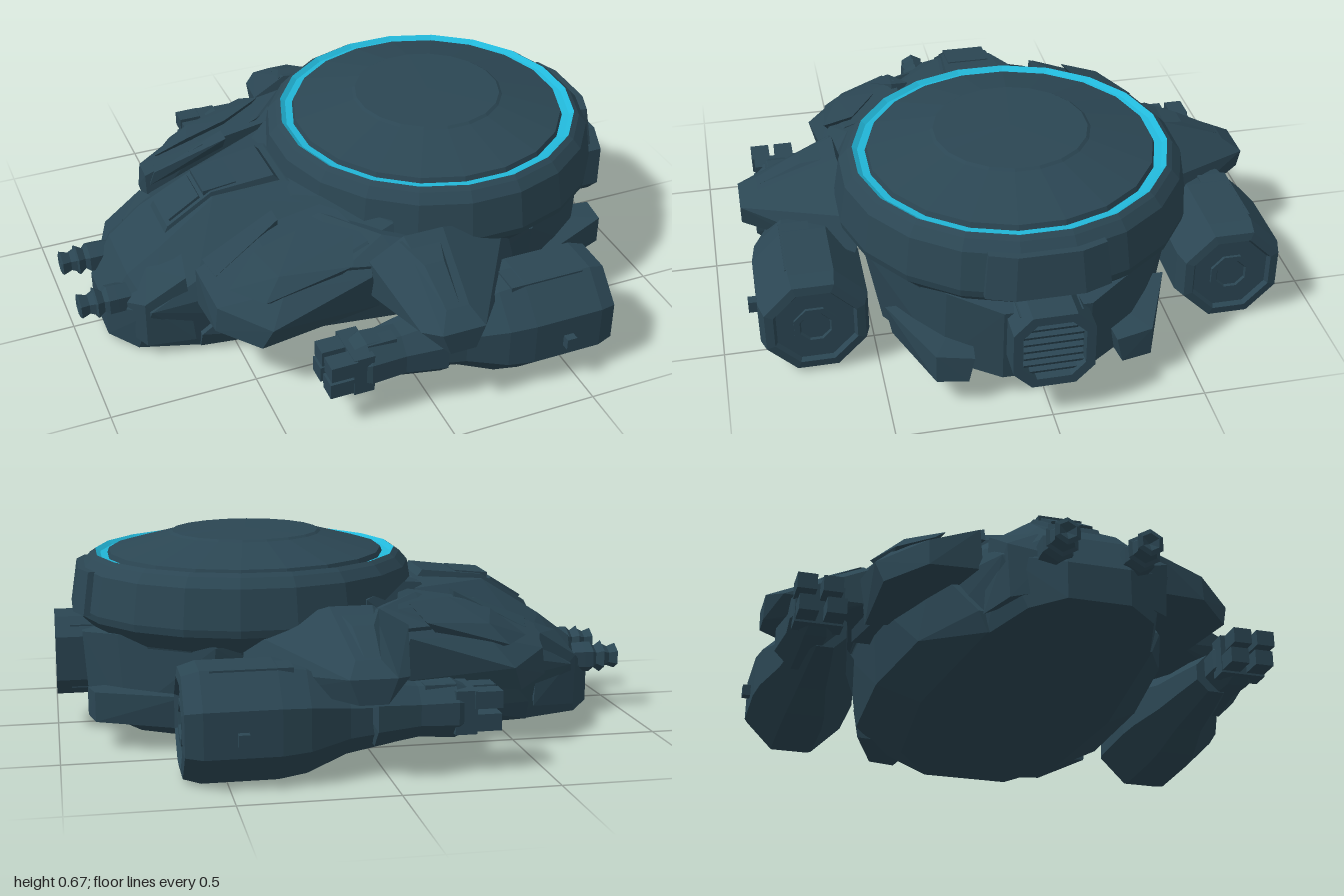
import * as THREE from 'three';
import { ConvexGeometry } from 'three/addons/geometries/ConvexGeometry.js';

export function createModel() {
  const model = new THREE.Group();
  const hullPaint = new THREE.MeshStandardMaterial({ color: 0x2b4653 });
  hullPaint.name = 'slateHull';
  const glow = new THREE.MeshStandardMaterial({ color: 0x22b8da });
  glow.name = 'cyanRing';

  // Faceted mesh: every triangle gets its own normal
  function add(name, geometry, material = hullPaint) {
    const g = geometry.index ? geometry.toNonIndexed() : geometry;
    g.computeVertexNormals();
    const mesh = new THREE.Mesh(g, material);
    mesh.name = name;
    model.add(mesh);
    return mesh;
  }
  const vec = (pts, s) => pts.map(([x, y, z]) => new THREE.Vector3(x, y, z * s));
  // One block mirrored across the centre line
  const block = (name, pts) => add(name, new ConvexGeometry([...vec(pts, 1), ...vec(pts, -1)]));
  // Two separate blocks, one on each side
  const pair = (name, pts) => {
    add(name + 'Front', new ConvexGeometry(vec(pts, 1)));
    add(name + 'Back', new ConvexGeometry(vec(pts, -1)));
  };
  const box = (name, x, y, z, w, h, d, tilt = 0) =>
    add(name, new THREE.BoxGeometry(w, h, d).rotateZ(tilt).translate(x, y, z));
  // Turned part along +x; each profile point is [radius, x]
  const turnedX = (name, profile, sides, y, z) =>
    add(name, new THREE.LatheGeometry(profile.map(p => new THREE.Vector2(...p)), sides, Math.PI / sides)
      .rotateZ(-Math.PI / 2).translate(0, y, z));
  // Turned part of the upright disc; each profile point is [radius, y]
  const disc = (name, profile, material, sides = 20) =>
    add(name, new THREE.LatheGeometry(profile.map(p => new THREE.Vector2(...p)), sides, Math.PI / sides)
      .translate(0.335, 0, 0), material);

  // Disc body, shallow glowing groove, and dome
  disc('discBody', [[0.47, 0.2], [0.525, 0.35], [0.585, 0.41], [0.59, 0.435], [0.568, 0.565], [0.54, 0.597], [0.522, 0.609]]);
  disc('glowRing', [[0.522, 0.609], [0.505, 0.597], [0.48, 0.594]], glow, 20);
  disc('domeTop', [[0.48, 0.594], [0.474, 0.611], [0.265, 0.667], [0.255, 0.674], [0, 0.68]], hullPaint, 20);

  // Lower hull with bevelled keel
  block('lowerHull', [
    [-0.62, 0.01, 0.27], [0, 0.01, 0.34], [0.5, 0.01, 0.3], [0.72, 0.01, 0.16],
    [-0.62, 0.08, 0.3], [-0.3, 0.1, 0.42], [0.1, 0.1, 0.48], [0.52, 0.1, 0.47], [0.78, 0.1, 0.31], [0.89, 0.09, 0.14],
    [-0.4, 0.33, 0.4], [0, 0.37, 0.52], [0.5, 0.37, 0.52], [0.8, 0.38, 0.3], [0.91, 0.36, 0.14]
  ]);

  // Nose and the rising cowl behind it
  block('noseCowl', [
    [-0.9, 0.02, 0.1], [-0.9, 0.14, 0.1], [-0.84, 0.2, 0.15], [-0.82, 0.27, 0.12],
    [-0.82, 0.01, 0.2], [-0.78, 0.2, 0.27], [-0.6, 0.01, 0.27], [-0.62, 0.3, 0.28],
    [-0.7, 0.36, 0.13], [-0.5, 0.485, 0.1], [-0.24, 0.505, 0.12], [-0.12, 0.49, 0.3],
    [-0.2, 0.32, 0.4], [-0.1, 0.01, 0.3], [-0.1, 0.1, 0.4]
  ]);
  pair('noseCheek', [
    [-0.86, 0.06, 0.13], [-0.86, 0.18, 0.14], [-0.8, 0.23, 0.26], [-0.8, 0.05, 0.25],
    [-0.76, 0.3, 0.15], [-0.66, 0.32, 0.28], [-0.64, 0.06, 0.29], [-0.64, 0.36, 0.16]
  ]);
  // Raised spine with two square hatches
  block('spine', [
    [-0.68, 0.36, 0.09], [-0.66, 0.4, 0.085], [-0.5, 0.5, 0.085], [-0.28, 0.525, 0.1],
    [-0.25, 0.49, 0.11], [-0.3, 0.4, 0.11]
  ]);
  box('spineHatch', -0.59, 0.443, 0, 0.13, 0.02, 0.14, 0.56);
  box('spineCover', -0.465, 0.499, 0, 0.12, 0.02, 0.15, 0.1);
  // Deck blending the cowl and shoulders into the disc
  block('discCollar', [
    [-0.3, 0.42, 0.22], [-0.25, 0.5, 0.2], [-0.16, 0.52, 0.28], [0, 0.5, 0.48], [0, 0.38, 0.5], [-0.18, 0.36, 0.42]
  ]);
  pair('sideDeck', [
    [-0.4, 0.42, 0.3], [-0.2, 0.49, 0.32], [-0.05, 0.48, 0.5], [0.12, 0.45, 0.58], [-0.02, 0.42, 0.6],
    [-0.2, 0.42, 0.55], [-0.2, 0.26, 0.5], [0.12, 0.26, 0.57], [0.12, 0.26, 0.45], [-0.15, 0.26, 0.35]
  ]);

  // Front shoulder armour with raised panels
  pair('frontShoulder', [
    [-0.63, 0.22, 0.29], [-0.62, 0.22, 0.46], [-0.5, 0.2, 0.58], [-0.47, 0.28, 0.605],
    [-0.61, 0.31, 0.46], [-0.63, 0.36, 0.3], [-0.42, 0.455, 0.28], [-0.4, 0.37, 0.53],
    [-0.12, 0.39, 0.59], [-0.1, 0.47, 0.5], [-0.15, 0.5, 0.28], [-0.08, 0.24, 0.56], [-0.1, 0.26, 0.3]
  ]);
  pair('shoulderPanel', [
    [-0.56, 0.35, 0.43], [-0.47, 0.345, 0.54], [-0.41, 0.41, 0.5], [-0.45, 0.435, 0.37],
    [-0.18, 0.435, 0.57], [-0.14, 0.485, 0.47], [-0.3, 0.48, 0.37], [-0.3, 0.3, 0.5]
  ]);
  pair('shoulderRail', [
    [-0.62, 0.33, 0.28], [-0.6, 0.38, 0.28], [-0.34, 0.485, 0.24], [-0.34, 0.485, 0.3],
    [-0.58, 0.36, 0.36], [-0.34, 0.4, 0.3]
  ]);

  // Arm brackets reaching out over the pods
  pair('armBracket', [
    [-0.12, 0.3, 0.56], [-0.12, 0.43, 0.56], [0.4, 0.42, 0.5], [0.42, 0.3, 0.54],
    [0, 0.5, 0.56], [0.14, 0.5, 0.56], [0.03, 0.385, 0.83], [0.11, 0.385, 0.83],
    [-0.06, 0.33, 0.84], [-0.01, 0.34, 0.895], [0.14, 0.34, 0.895], [0.02, 0.26, 0.895], [0.11, 0.26, 0.895],
    [-0.04, 0.27, 0.7], [0.28, 0.27, 0.7]
  ]);
  pair('bracketRidge', [
    [-0.02, 0.49, 0.57], [0.12, 0.49, 0.57], [0.02, 0.46, 0.68], [0.09, 0.46, 0.68],
    [0.03, 0.39, 0.82], [0.08, 0.39, 0.82], [0.05, 0.38, 0.6]
  ]);

  // Everything repeated on both sides
  for (const s of [1, -1]) {
    const z = 0.7 * s;
    // Octagonal pod with recessed rear cap
    turnedX('armPod', [[0, -0.14], [0.075, -0.14], [0.1, -0.02], [0.125, 0.12], [0.178, 0.25],
      [0.192, 0.34], [0.192, 0.58], [0.175, 0.635], [0.145, 0.64], [0.135, 0.625], [0, 0.625]], 8, 0.183, z);
    turnedX('podCap', [[0.075, 0.6], [0.075, 0.635], [0.055, 0.635], [0.05, 0.628], [0, 0.628]], 8, 0.183, z);
    box('podTopPlate', 0.42, 0.335, z + 0.03 * s, 0.26, 0.05, 0.1);
    box('podSideKnob', 0.46, 0.17, z + 0.185 * s, 0.035, 0.04, 0.04);
    // Forearm and blunt grasping hand
    const zf = 0.745 * s;
    turnedX('forearm', [[0, -0.26], [0.075, -0.26], [0.095, -0.22], [0.088, -0.1], [0.11, 0.04], [0, 0.06]], 8, 0.2, zf);
    box('wristBlock', -0.245, 0.2, zf, 0.07, 0.14, 0.16);
    for (const [dy, dz] of [[0.04, 0.055], [0.04, -0.03], [-0.035, 0.045], [-0.035, -0.045]])
      box('handFinger', -0.315, 0.2 + dy, zf + dz * s, 0.09, 0.055, 0.065);
    box('forearmFin', -0.17, 0.27, zf + 0.02 * s, 0.1, 0.03, 0.05);
    // Twin nose cannons with flared collars
    turnedX('noseCannon', [[0, -0.985], [0.03, -1], [0.046, -0.995], [0.035, -0.965], [0.045, -0.945],
      [0.058, -0.94], [0.04, -0.915], [0.055, -0.9], [0.055, -0.87], [0.05, -0.78], [0, -0.78]], 6, 0.19, 0.13 * s);
  }

  // Rear skids under the disc
  pair('rearSkid', [
    [0.6, 0.08, 0.22], [0.6, 0.2, 0.2], [0.6, 0.2, 0.47], [0.6, 0.09, 0.45], [0.9, 0.1, 0.25],
    [0.9, 0.19, 0.23], [0.88, 0.2, 0.35], [0.88, 0.1, 0.35]
  ]);
  // Flat panel on the back of the disc, wrapped to its curve
  block('rearPanel', [
    [0.916, 0.57, 0.1], [0.938, 0.425, 0.11], [0.885, 0.57, 0.185], [0.905, 0.425, 0.2],
    [0.84, 0.57, 0.18], [0.84, 0.425, 0.2]
  ]);

  // Octagonal rear vent with louvres
  const octagon = (path, h, w, cut) => {
    [[w, cut - h], [w, h - cut], [w - cut, h], [cut - w, h], [-w, h - cut], [-w, cut - h], [cut - w, -h], [w - cut, -h]]
      .forEach(([x, y], i) => (i ? path.lineTo(x, y) : path.moveTo(x, y)));
    path.closePath();
    return path;
  };
  const frame = octagon(new THREE.Shape(), 0.135, 0.13, 0.06);
  frame.holes.push(octagon(new THREE.Path(), 0.105, 0.1, 0.045));
  add('ventFrame', new THREE.ExtrudeGeometry(frame, { depth: 0.145, bevelEnabled: false })
    .rotateY(Math.PI / 2).translate(0.855, 0.265, 0));
  box('ventBack', 0.9, 0.265, 0, 0.1, 0.22, 0.2);
  for (let i = -3; i <= 3; i++)
    box('ventLouvre', 0.965, 0.265 + i * 0.027, 0, 0.04, 0.012, Math.abs(i) === 3 ? 0.15 : 0.19, -0.4);

  return model;
}
